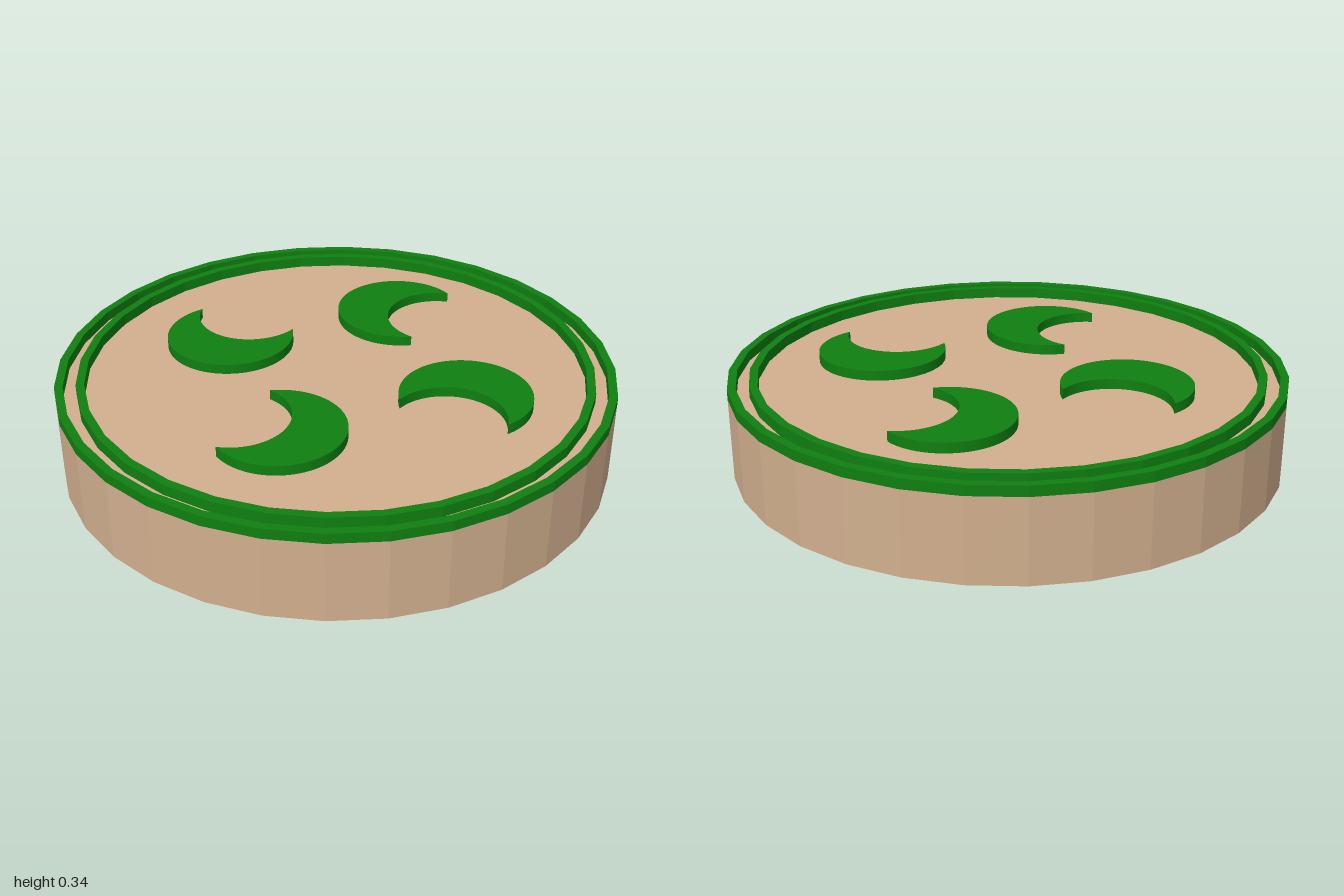
import * as THREE from 'three';

const SIDES = 32;
const BASE_H = 0.3;

// Extrude a plan-view shape upwards (shape +y becomes -z)
function raise(shape, height, curveSegments = 1) {
  const geometry = new THREE.ExtrudeGeometry(shape, { depth: height, bevelEnabled: false, curveSegments });
  return geometry.rotateX(-Math.PI / 2);
}

function polygon(radius) {
  return Array.from({ length: SIDES }, (_, i) => {
    const a = (i / SIDES) * Math.PI * 2;
    return new THREE.Vector2(radius * Math.cos(a), radius * Math.sin(a));
  });
}

function ringGeometry(inner, outer, height) {
  const shape = new THREE.Shape(polygon(outer));
  shape.holes.push(new THREE.Path(polygon(inner)));
  return raise(shape, height);
}

// Crescent with its open side towards +x
function crescentGeometry(height) {
  const tip = new THREE.Vector2(0.13, 0.195);
  const cut = 0.17;
  const a = Math.atan2(tip.y, tip.x);
  const b = Math.atan2(tip.y, tip.x - cut);
  const shape = new THREE.Shape();
  shape.absarc(0, 0, tip.length(), a, Math.PI * 2 - a, false);
  shape.absarc(cut, 0, Math.hypot(tip.x - cut, tip.y), -b, b, true);
  return raise(shape, height, 32);
}

export function createModel() {
  const group = new THREE.Group();
  const tan = new THREE.MeshStandardMaterial({ color: 0xd2b08f, flatShading: true });
  tan.name = 'tan';
  const green = new THREE.MeshStandardMaterial({ color: 0x0f7f10, flatShading: true });
  green.name = 'green';

  const add = (name, geometry, material, x = 0, y = 0, z = 0, turn = 0) => {
    const mesh = new THREE.Mesh(geometry, material);
    mesh.name = name;
    mesh.position.set(x, y, z);
    mesh.rotation.y = turn;
    group.add(mesh);
  };

  // Drum-shaped base
  add('base', new THREE.CylinderGeometry(1, 1, BASE_H, SIDES), tan, 0, BASE_H / 2, 0);

  // Two raised rims
  add('outerRim', ringGeometry(0.97, 1, 0.037), green, 0, BASE_H, 0);
  add('innerRim', ringGeometry(0.895, 0.925, 0.04), green, 0, BASE_H, 0);

  // Four crescents, each turned a quarter from the last
  const crescent = crescentGeometry(0.037);
  const places = [
    ['backCrescent', 0.04, -0.5, 0],
    ['leftCrescent', 0.495, 0, -Math.PI / 2],
    ['frontCrescent', -0.005, 0.455, Math.PI],
    ['rightCrescent', -0.455, -0.045, Math.PI / 2],
  ];
  for (const [name, x, z, turn] of places) add(name, crescent, green, x, BASE_H, z, turn);

  return group;
}
